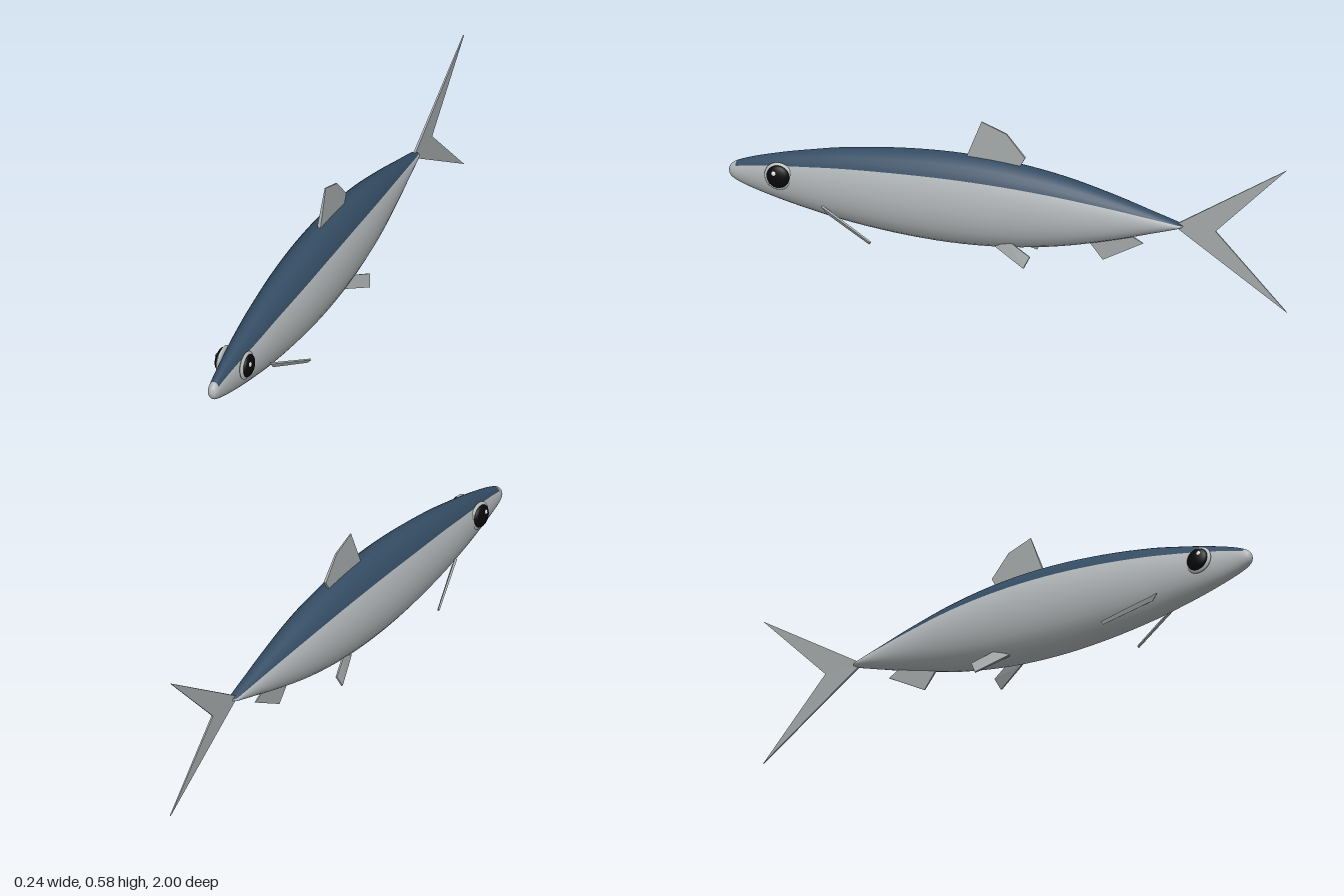
import * as THREE from 'three';
import { ConvexGeometry } from 'three/addons/geometries/ConvexGeometry.js';

const material = (name, color) => {
  const m = new THREE.MeshStandardMaterial({ color });
  m.name = name;
  return m;
};

// Lofted body: elliptical rings, first the columns of the back, then the belly
function bodyGeometry() {
  const cy = 0.277;
  // z, half width, half height
  const profile = [
    [1, 0.004, 0.006], [0.994, 0.014, 0.02], [0.98, 0.02, 0.032], [0.95, 0.025, 0.046],
    [0.9, 0.032, 0.063], [0.8, 0.047, 0.09], [0.7, 0.06, 0.112], [0.6, 0.07, 0.132],
    [0.4, 0.086, 0.157], [0.2, 0.092, 0.167], [0, 0.089, 0.158], [-0.2, 0.076, 0.128],
    [-0.4, 0.051, 0.077], [-0.5, 0.036, 0.046], [-0.58, 0.024, 0.021], [-0.62, 0.015, 0.007],
    [-0.63, 0.002, 0.002],
  ];
  // Smooth the profile between its stations
  const curve = new THREE.CatmullRomCurve3(profile.map(p => new THREE.Vector3(p[1], p[2], p[0])), false, 'centripetal');
  const rings = 64, backCols = 10, bellyCols = 18, cols = backCols + bellyCols;
  const edge = Math.asin(0.6), backArc = Math.PI - 2 * edge;
  const position = [], index = [];
  for (let i = 0; i <= rings; i++) {
    const p = curve.getPoint(i / rings);
    for (let j = 0; j < cols; j++) {
      const a = j < backCols
        ? edge + backArc * j / backCols
        : Math.PI - edge + (2 * Math.PI - backArc) * (j - backCols) / bellyCols;
      position.push(p.x * Math.cos(a), cy + p.y * Math.sin(a), p.z);
    }
  }
  const strip = (from, to, r0, r1) => {
    const start = index.length;
    for (let i = r0; i < r1; i++) {
      for (let j = from; j < to; j++) {
        const k = (j + 1) % cols;
        const a = i * cols + j, b = i * cols + k, c = a + cols, d = b + cols;
        index.push(a, c, b, b, c, d);
      }
    }
    return [start, index.length - start];
  };
  const snout = 9;
  const back = strip(0, backCols, snout, rings);
  const nose = strip(0, backCols, 0, snout);
  const belly = strip(backCols, cols, 0, rings);
  // Close both ends
  const capStart = index.length, last = rings * cols;
  for (let j = 1; j < cols - 1; j++) {
    index.push(0, j, j + 1, last, last + j + 1, last + j);
  }
  const g = new THREE.BufferGeometry();
  g.setAttribute('position', new THREE.Float32BufferAttribute(position, 3));
  g.setIndex(index);
  g.addGroup(...back, 0);
  g.addGroup(...nose, 1);
  g.addGroup(...belly, 1);
  g.addGroup(capStart, index.length - capStart, 1);
  g.computeVertexNormals();
  return g;
}

// Convex plate through corner points [x, y, z, half thickness]
function plate(corners) {
  const pts = corners.map(c => new THREE.Vector3(c[0], c[1], c[2]));
  const n = pts[1].clone().sub(pts[0]).cross(pts[2].clone().sub(pts[0])).normalize();
  const hull = [];
  pts.forEach((p, i) => {
    hull.push(p.clone().addScaledVector(n, corners[i][3]), p.clone().addScaledVector(n, -corners[i][3]));
  });
  return new ConvexGeometry(hull);
}

export function createModel() {
  const model = new THREE.Group();
  const back = material('back blue', 0x344c63);
  const silver = material('belly silver', 0xb2b7b9);
  const finGrey = material('fin grey', 0xa4a9aa);
  const eyeGrey = material('eye grey', 0xb9bdbd);
  const black = material('pupil black', 0x080808);
  const white = material('glint white', 0xf2f2f2);

  const add = (name, geometry, mat, parent = model) => {
    const mesh = new THREE.Mesh(geometry, mat);
    mesh.name = name;
    parent.add(mesh);
    return mesh;
  };

  add('body', bodyGeometry(), [back, silver]);

  // Fins on the centre line
  add('dorsalFin', plate([
    [0, 0.42, 0.155, 0.007], [0, 0.577, 0.095, 0.002], [0, 0.542, 0.005, 0.003],
    [0, 0.46, -0.062, 0.005], [0, 0.4, -0.03, 0.007],
  ]), finGrey);
  add('analFin', plate([
    [0, 0.19, -0.28, 0.004], [0, 0.112, -0.34, 0.002], [0, 0.193, -0.485, 0.002], [0, 0.24, -0.4, 0.004],
  ]), finGrey);
  const tail = new THREE.Group();
  tail.name = 'tailFin';
  model.add(tail);
  for (const [name, tipY] of [['upperTailLobe', 0.538], ['lowerTailLobe', 0]]) {
    add(name, plate([
      [0, 0.277, -0.595, 0.004], [0, tipY, -1, 0.002], [0, 0.274, -0.745, 0.003],
    ]), finGrey, tail);
  }

  // Paired fins and eyes
  for (const [side, s] of [['left', 1], ['right', -1]]) {
    add(side + 'PectoralFin', plate([
      [s * 0.058, 0.207, 0.65, 0.004], [s * 0.119, 0.123, 0.457, 0.003],
      [s * 0.111, 0.113, 0.463, 0.003], [s * 0.056, 0.182, 0.63, 0.004],
    ]), finGrey);
    add(side + 'PelvicFin', plate([
      [s * 0.042, 0.132, 0.035, 0.004], [s * 0.084, 0.08, -0.08, 0.003],
      [s * 0.074, 0.122, -0.1, 0.003], [s * 0.048, 0.158, -0.02, 0.004],
    ]), finGrey);

    const eye = new THREE.Group();
    eye.name = side + 'Eye';
    eye.position.set(s * 0.045, 0.295, 0.811);
    eye.rotation.set(0, 0, s * 0.06);
    model.add(eye);
    const ball = (name, r, depth, x, y, z, mat) => {
      const m = add(name, new THREE.SphereGeometry(r, 24, 16), mat, eye);
      m.scale.x = depth / r;
      m.position.set(s * x, y, z);
    };
    ball('eyeball', 0.05, 0.012, 0, 0, 0, eyeGrey);
    ball('pupil', 0.041, 0.016, 0.007, 0, -0.001, black);
    ball('glint', 0.009, 0.005, 0.019, 0.014, 0.011, white);
  }
  return model;
}
